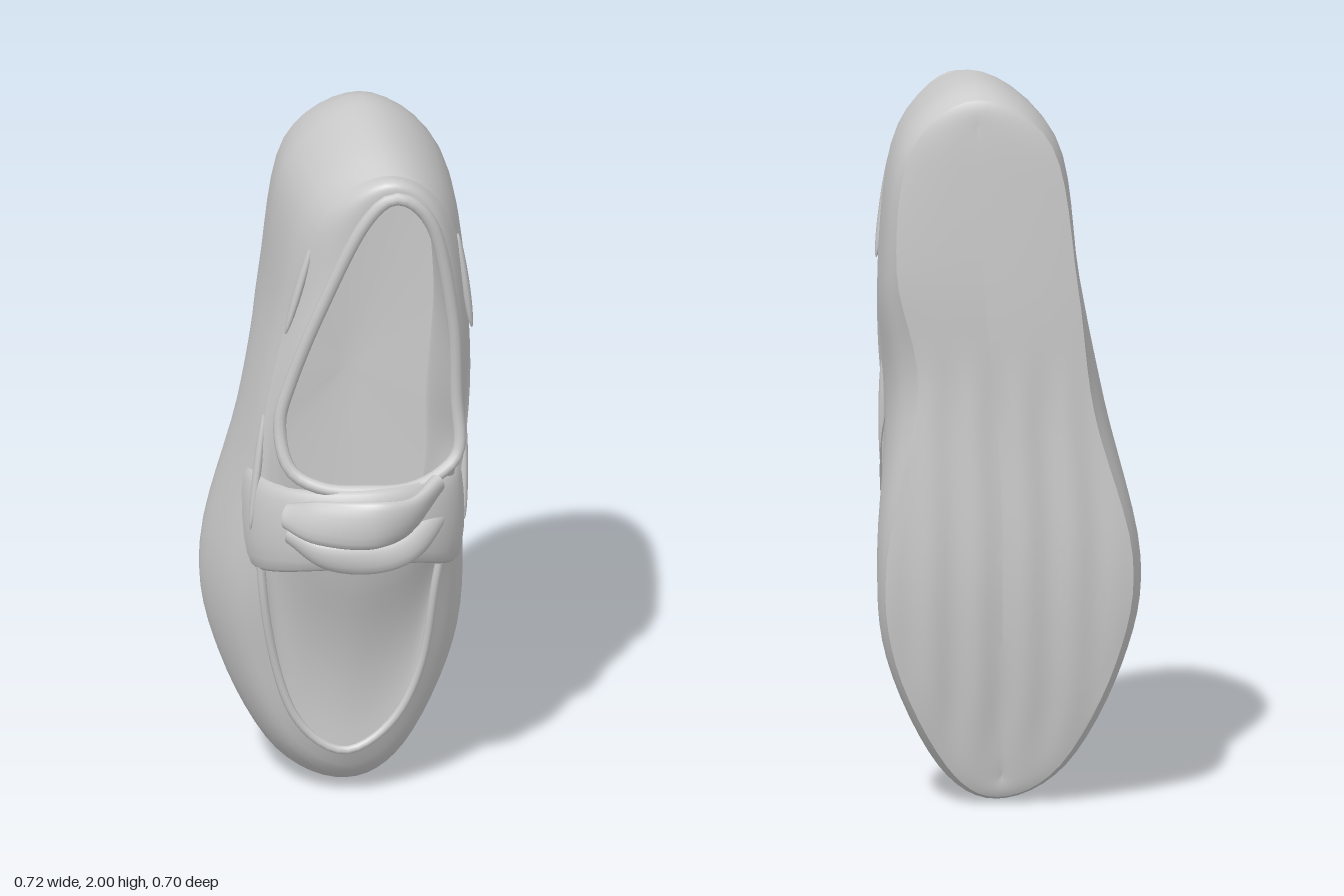
import * as THREE from 'three';
import { mergeVertices } from 'three/addons/utils/BufferGeometryUtils.js';

const N = 84;
const material = new THREE.MeshStandardMaterial({ color: 0xcccccc, side: THREE.DoubleSide });
const V = (p) => new THREE.Vector3(...p);
const lerp = THREE.MathUtils.lerp;

// Smooth surface from a point rule f(u, v)
function grid(nu, nv, f) {
  const pos = [], index = [];
  for (let j = 0; j <= nv; j++)
    for (let i = 0; i <= nu; i++) pos.push(...f(i / nu, j / nv).toArray());
  for (let j = 0; j < nv; j++)
    for (let i = 0; i < nu; i++) {
      const a = j * (nu + 1) + i, b = a + 1, d = a + nu + 1, c = d + 1;
      index.push(a, b, d, b, c, d);
    }
  let g = new THREE.BufferGeometry();
  g.setAttribute('position', new THREE.Float32BufferAttribute(pos, 3));
  g.setIndex(index);
  g = mergeVertices(g, 1e-5);
  g.computeVertexNormals();
  return g;
}

// Closed loop running toe, +x side, heel, -x side
const loop = (pts) => new THREE.CatmullRomCurve3(pts.map(V), true, 'catmullrom', 0.5);

// Strap with a rounded flat section that follows a path across the shoe
function strap(pts, half, thick, twist = 0) {
  const path = new THREE.CatmullRomCurve3(pts.map(V));
  return grid(36, 16, (u, v) => {
    const c = path.getPoint(u), t = path.getTangent(u);
    const n = new THREE.Vector3(-t.z, 0, t.x).normalize();
    const across = new THREE.Vector3().crossVectors(n, t).normalize();
    const a = v * Math.PI * 2, k = twist * (u - 0.5);
    const s = half(u) * Math.sin(a), h = thick * Math.cos(a);
    return c.addScaledVector(across, s * Math.cos(k) - h * Math.sin(k))
      .addScaledVector(n, h * Math.cos(k) + s * Math.sin(k));
  });
}

export function createModel() {
  const shoe = new THREE.Group();
  shoe.name = 'loafer';
  const add = (name, geometry) => {
    const m = new THREE.Mesh(geometry, material);
    m.name = name;
    shoe.add(m);
    return m;
  };

  // Guiding loops, from the sole edge up to the opening
  const soleEdge = loop([
    [.03, .02, -.235], [.17, .11, -.255], [.31, .40, -.30], [.335, .70, -.325], [.25, 1.16, -.325],
    [.31, 1.50, -.34], [.27, 1.83, -.34], [.09, 1.97, -.335], [-.115, 1.84, -.34],
    [-.185, 1.45, -.34], [-.23, 1.10, -.33], [-.335, .70, -.325], [-.29, .40, -.30], [-.14, .11, -.255]]);
  const outline = loop([
    [.03, .005, -.15], [.19, .10, -.15], [.33, .40, -.17], [.355, .70, -.17], [.325, 1.12, -.13],
    [.35, 1.45, -.15], [.30, 1.84, -.18], [.09, 2.0, -.18], [-.13, 1.84, -.18],
    [-.195, 1.45, -.15], [-.265, 1.10, -.15], [-.36, .68, -.19], [-.31, .38, -.17], [-.16, .10, -.15]]);
  const seam = loop([
    [.01, .16, .02], [.14, .24, .015], [.22, .42, .025], [.26, .72, .065], [.33, 1.08, .08],
    [.34, 1.45, .10], [.275, 1.82, .16], [.11, 1.95, .18], [-.07, 1.82, .15],
    [-.165, 1.45, .07], [-.23, 1.08, .06], [-.225, .72, .06], [-.18, .42, .025], [-.11, .24, .015]]);
  const topline = loop([
    [.05, 1.02, .21], [.16, 1.02, .205], [.25, 1.05, .18], [.305, 1.11, .155], [.30, 1.26, .145],
    [.288, 1.50, .175], [.23, 1.80, .22], [.13, 1.905, .235], [.035, 1.82, .22],
    [-.08, 1.55, .18], [-.155, 1.33, .145], [-.185, 1.20, .14], [-.16, 1.08, .17], [-.07, 1.03, .20]]);
  const floor = loop([
    [.02, .40, -.21], [.12, .47, -.21], [.21, .64, -.21], [.25, .88, -.21], [.255, 1.12, -.21],
    [.28, 1.45, -.21], [.235, 1.78, -.21], [.10, 1.92, -.21], [-.06, 1.78, -.21],
    [-.13, 1.45, -.21], [-.18, 1.12, -.21], [-.23, .88, -.21], [-.19, .64, -.21], [-.09, .47, -.21]]);

  // Sole with lengthwise grooves under the ball of the foot
  const window = (y) => THREE.MathUtils.smoothstep(y, .08, .3) * (1 - THREE.MathUtils.smoothstep(y, 1.05, 1.3));
  add('sole', grid(N, 16, (u, v) => {
    const e = soleEdge.getPoint(u);
    const spine = lerp(.02, .09, THREE.MathUtils.smoothstep(e.y, .7, 1.9));
    const x = lerp(spine, e.x, v), y = lerp(lerp(.9, e.y, .93), e.y, v);
    const z = e.z - .012 * (1 - v ** 3)
      + .006 * window(y) * (1 - v ** 6) * Math.cos((x - spine) * Math.PI * 2 / .13);
    return new THREE.Vector3(x, y, z);
  }));

  // Rounded side wall all the way round
  add('sideWall', grid(N, 14, (u, v) => {
    const a = soleEdge.getPoint(u), b = outline.getPoint(u), c = seam.getPoint(u);
    const low = a.clone().lerp(b, .4);
    low.x += (b.x - a.x) * .3;
    low.y += (b.y - a.y) * .3;
    const high = b.clone().lerp(c, .55).lerp(new THREE.Vector3(b.x, b.y, c.z), .28);
    return new THREE.CatmullRomCurve3([a, low, b, high, c]).getPoint(v);
  }));

  // Inset toe panel blending into the collar round the opening
  add('toePanelAndCollar', grid(N, 14, (u, v) => {
    const a = seam.getPoint(u), b = topline.getPoint(u);
    const toe = (1 + Math.cos(u * Math.PI * 2)) / 2;
    const p = a.clone().lerp(b, v);
    p.y += .018 * (1 - toe) ** 3 * Math.sin(Math.PI * v);
    p.z = lerp(a.z, b.z, v ** (1 + .4 * toe)) + .02 * (1 - toe) ** 3 * Math.sin(Math.PI * v)
      - .022 * toe * toe * Math.sin(Math.PI * Math.min(1, v * 1.6));
    return p;
  }));

  // Raised seam along the toe panel
  const toeSeam = [];
  for (let i = -12; i <= 12; i++) toeSeam.push(seam.getPoint((i / 12 * .22 + 1) % 1));
  add('toeSeam', new THREE.TubeGeometry(new THREE.CatmullRomCurve3(toeSeam), 48, .012, 8));

  // Rolled rim, lining and insole
  add('openingRim', new THREE.TubeGeometry(topline, N, .018, 10, true));
  add('lining', grid(N, 10, (u, v) => {
    const top = topline.getPoint(u), p = top.clone().lerp(floor.getPoint(u), v);
    p.z = lerp(top.z, -.21, Math.sin(v * Math.PI / 2));
    return p;
  }));
  add('insole', grid(N, 6, (u, v) => {
    const p = floor.getPoint(u);
    return new THREE.Vector3(lerp(p.x, .05, v), lerp(p.y, 1.2, v), -.21 - .025 * v);
  }));

  // Saddle band over the instep, its ends sunk into the side walls
  add('saddleBand', strap([
    [-.26, .88, -.08], [-.228, .88, .07], [-.12, .90, .18], [.05, .92, .235],
    [.20, .92, .205], [.29, .90, .12], [.318, .89, -.06]],
  (u) => .115 + .055 * Math.abs(2 * u - 1) ** 2, .026));

  // Twisted knot of two ribbons on the band
  add('upperRibbon', strap([
    [-.17, .95, .19], [-.10, .96, .265], [.05, .97, .325], [.15, .98, .295], [.24, 1.03, .2]],
  (u) => .035 + .035 * Math.sin(u * Math.PI), .024, .9));
  add('lowerRibbon', strap([
    [-.16, .89, .18], [-.08, .86, .255], [.05, .855, .28], [.16, .88, .265], [.25, .93, .17]],
  (u) => .03 + .02 * Math.sin(u * Math.PI), .024, -.9));

  // Slim stitched slips on both sides
  const slip = (name, x, y, z, len, tilt, lean) => {
    const m = add(name, new THREE.SphereGeometry(1, 12, 10));
    m.position.set(x, y, z);
    m.scale.set(.012, len, .02);
    m.rotation.set(tilt, 0, lean);
  };
  slip('rightHeelSlip', .325, 1.6, .125, .15, .08, .14);
  slip('leftHeelSlip', -.128, 1.6, .115, .15, .08, -.25);
  slip('rightInstepSlip', .33, 1.03, .06, .17, -.08, 0);
  slip('leftInstepSlip', -.237, 1.03, .06, .17, -.08, -.12);

  return shoe;
}
